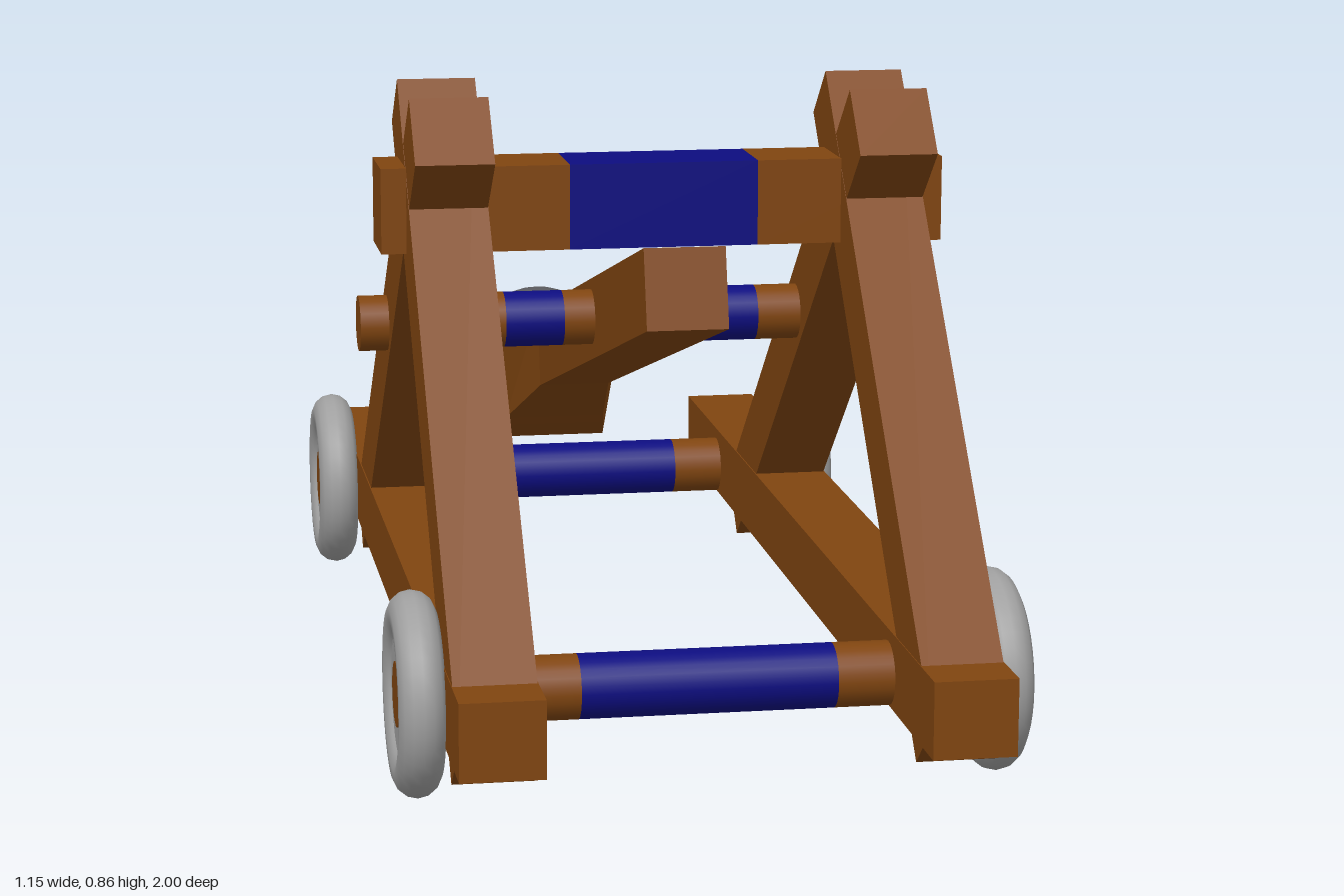
import * as THREE from 'three';

const wood = new THREE.MeshStandardMaterial({ name: 'brown wood', color: 0x804510 });
const blue = new THREE.MeshStandardMaterial({ name: 'navy blue binding', color: 0x0d0d80 });
const grey = new THREE.MeshStandardMaterial({ name: 'light grey wheel', color: 0xa0a0a0 });
const stone = new THREE.MeshStandardMaterial({ name: 'dark grey stone', color: 0x5a5a5e });

function add(parent, name, geometry, material, x = 0, y = 0, z = 0) {
  const mesh = new THREE.Mesh(geometry, material);
  mesh.name = name;
  mesh.position.set(x, y, z);
  parent.add(mesh);
  return mesh;
}

// Round rod along x between x0 and x1
function rod(parent, name, r, x0, x1, y, z, material) {
  const g = new THREE.CylinderGeometry(r, r, x1 - x0, 24).rotateZ(Math.PI / 2);
  return add(parent, name, g, material, (x0 + x1) / 2, y, z);
}

// Square beam lying in a plane of constant x, from (z0, y0) to (z1, y1)
function beam(parent, name, x, z0, y0, z1, y1, width, depth) {
  const g = new THREE.BoxGeometry(width, depth, Math.hypot(z1 - z0, y1 - y0));
  const m = add(parent, name, g, wood, x, (y0 + y1) / 2, (z0 + z1) / 2);
  m.rotation.x = -Math.atan2(y1 - y0, z1 - z0);
}

function wheel(parent, x, y, z) {
  const g = new THREE.Group();
  g.name = 'wheel';
  g.position.set(x, y, z);
  parent.add(g);
  add(g, 'tyre', new THREE.TorusGeometry(0.102, 0.03, 14, 40).rotateY(Math.PI / 2), grey);
  rod(g, 'wheelDisc', 0.086, -0.02, 0.02, 0, 0, grey);
}

// Throwing arm: cross-sections from the front end to the cup tip
// [distance, half width, bottom half width, bottom, cavity half width, cavity floor]
function armGeometry() {
  const top = 0.053;
  const sections = [
    [-0.475, 0.054, 0.054, -0.055, 0.03, top],
    [0.56, 0.054, 0.054, -0.066, 0.03, top],
    [0.8, 0.1, 0.08, -0.105, 0.08, top],
    [0.83, 0.109, 0.085, -0.115, 0.09, -0.05],
    [0.91, 0.135, 0.095, -0.131, 0.112, -0.108],
    [0.99, 0.135, 0.095, -0.121, 0.112, -0.105],
    [1.06, 0.105, 0.075, -0.07, 0.085, -0.05],
    [1.1, 0.075, 0.06, -0.035, 0.055, top],
    [1.14, 0.055, 0.05, 0.0, 0.03, top],
  ];
  const loops = sections.map(([u, w, bw, b, iw, floor]) => [
    [-w, top], [-bw, b], [bw, b], [w, top],
    [iw, top], [iw * 0.8, floor], [-iw * 0.8, floor], [-iw, top],
  ].map(([x, y]) => [x, y, -u]));
  const pos = [];
  const quad = (a, b, c, d) => pos.push(...a, ...b, ...c, ...a, ...c, ...d);
  for (let s = 0; s < loops.length - 1; s++) {
    const f = loops[s], k = loops[s + 1];
    for (let i = 0; i < 8; i++) {
      const j = (i + 1) % 8;
      quad(f[i], k[i], k[j], f[j]);
    }
  }
  const first = loops[0], last = loops[loops.length - 1];
  quad(first[0], first[1], first[2], first[3]);
  quad(last[3], last[2], last[1], last[0]);
  const g = new THREE.BufferGeometry();
  g.setAttribute('position', new THREE.Float32BufferAttribute(pos, 3));
  g.computeVertexNormals();
  return g;
}

export function createModel() {
  const root = new THREE.Group();
  root.name = 'catapult';
  const body = new THREE.Group();
  body.name = 'body';
  body.position.set(0.018, 0, 0.005);
  body.rotation.y = THREE.MathUtils.degToRad(-15);
  root.add(body);

  // Side frames: rail and two crossing legs
  for (const s of [-1, 1]) {
    const x = s * 0.293;
    add(body, 'rail', new THREE.BoxGeometry(0.107, 0.1, 1.692), wood, x, 0.14, 0.083);
    beam(body, 'frontLeg', x, 0.876, 0.093, 0.226, 0.827, 0.105, 0.1);
    beam(body, 'backLeg', x, -0.377, 0.099, 0.446, 0.814, 0.104, 0.104);
  }

  // Axles with blue binding, and wheels
  for (const z of [-0.513, 0.684]) {
    rod(body, 'axleBinding', 0.042, -0.166, 0.166, 0.132, z, blue);
    for (const s of [-1, 1]) {
      rod(body, 'axleEnd', 0.042, s < 0 ? -0.398 : 0.166, s < 0 ? -0.166 : 0.398, 0.132, z, wood);
      wheel(body, s * 0.375, 0.132, z);
    }
  }

  // Pivot rod with two blue bindings
  const stops = [-0.385, -0.18, -0.097, 0.097, 0.18, 0.385];
  for (let i = 0; i < 5; i++) {
    const bound = i % 2 === 1;
    rod(body, bound ? 'pivotBinding' : 'pivotRod', 0.039, stops[i], stops[i + 1], 0.493, 0.077, bound ? blue : wood);
  }

  // Crossbeam
  for (const s of [-1, 1]) {
    add(body, 'crossbeamEnd', new THREE.BoxGeometry(0.252, 0.114, 0.11), wood, s * 0.253, 0.698, 0.313);
  }
  add(body, 'crossbeamBinding', new THREE.BoxGeometry(0.254, 0.114, 0.11), blue, 0, 0.698, 0.313);

  // Throwing arm with cup and stone
  const arm = new THREE.Group();
  arm.name = 'throwingArm';
  arm.position.set(0, 0.493, 0.077);
  arm.rotation.x = THREE.MathUtils.degToRad(-15);
  body.add(arm);
  add(arm, 'armAndCup', armGeometry(), wood);
  add(arm, 'stoneBall', new THREE.SphereGeometry(0.117, 28, 18), stone, 0, 0.004, -0.966);
  return root;
}
